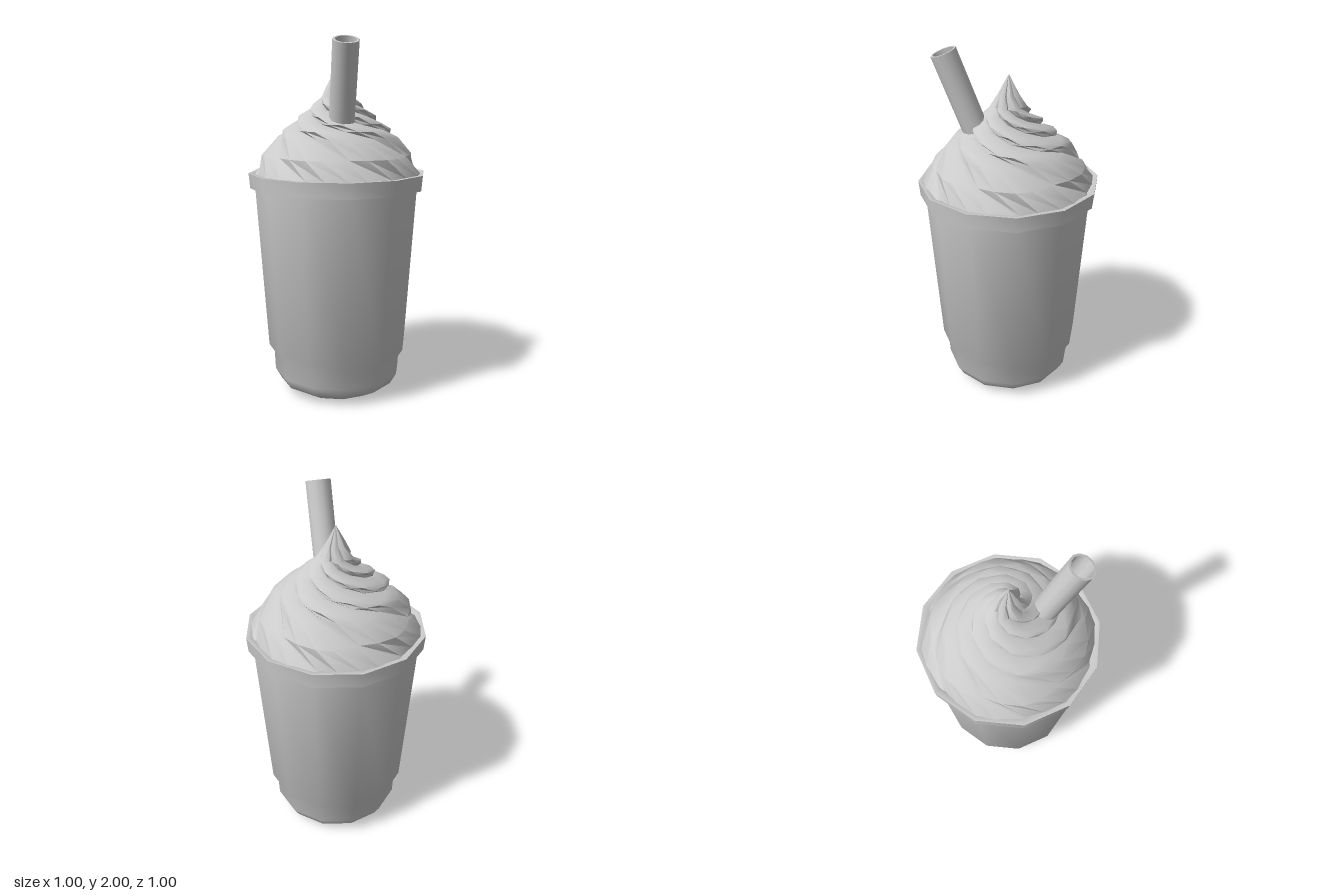
import * as THREE from 'three';
import { toCreasedNormals } from 'three/addons/utils/BufferGeometryUtils.js';

const SIDES = 12;
const material = new THREE.MeshStandardMaterial({ color: 0xcccccc });

function addMesh(parent, name, geometry, crease) {
  const mesh = new THREE.Mesh(toCreasedNormals(geometry, crease), material);
  mesh.name = name;
  parent.add(mesh);
  return mesh;
}

// Twelve-sided turned shape from [radius, y] pairs, running up the outside
function lathe(profile) {
  return new THREE.LatheGeometry(profile.map(([r, y]) => new THREE.Vector2(r, y)), SIDES);
}

// Six-lobed sawtooth section, twisted 60 degrees per level while it narrows
function creamGeometry() {
  // [turn in lobes, radius, height, groove depth]
  const levels = [
    [-0.1, 0.475, 1.23, 0.04], [0, 0.475, 1.26, 0.04], [0.5, 0.425, 1.365, 0.06],
    [1, 0.345, 1.465, 0.09], [1.5, 0.305, 1.505, 0.12], [2.05, 0.26, 1.54, 0.16],
    [2.6, 0.215, 1.58, 0.2], [3.15, 0.172, 1.615, 0.25], [3.65, 0.135, 1.645, 0.28],
    [4.15, 0.1, 1.68, 0.3], [4.45, 0.06, 1.745, 0.3], [4.6, 0.002, 1.85, 0.3],
  ];
  // [position within a lobe, share of the groove depth]
  const lobe = [[-0.48, 0.7], [-0.2, 0.15], [0, 0], [0.25, 0.6], [0.47, 1.25]];
  const count = lobe.length * 6;
  const positions = [];
  const index = [];
  levels.forEach(([turn, radius, y, depth], k) => {
    for (let j = 0; j < count; j++) {
      const [f, cut] = lobe[j % lobe.length];
      const angle = (Math.floor(j / lobe.length) + f + turn) * Math.PI / 3 - Math.PI / 2;
      const r = radius * (1 - depth * cut);
      positions.push(r * Math.cos(angle), y, r * Math.sin(angle));
      if (k === levels.length - 1) continue;
      const a = k * count + j;
      const b = k * count + (j + 1) % count;
      index.push(a, a + count, b, b, a + count, b + count);
    }
  });
  const geometry = new THREE.BufferGeometry();
  geometry.setAttribute('position', new THREE.Float32BufferAttribute(positions, 3));
  geometry.setIndex(index);
  return geometry;
}

export function createModel() {
  const group = new THREE.Group();
  group.name = 'whippedCreamDrink';

  // Tapered cup with a stepped, rounded foot
  addMesh(group, 'cup', lathe([
    [0, 0], [0.24, 0], [0.33, 0.05], [0.365, 0.11], [0.37, 0.215],
    [0.4, 0.26], [0.465, 1.2],
  ]), 0.85);

  // Overhanging rim
  addMesh(group, 'rim', lathe([
    [0.44, 1.18], [0.492, 1.18], [0.5, 1.265], [0.475, 1.265], [0.43, 1.23],
  ]), 0.7);

  // Swirled topping
  addMesh(group, 'whippedCream', creamGeometry(), 0.6);

  // Hollow straw leaning to the front, sunk into the cream
  const length = 0.6;
  const straw = addMesh(group, 'straw', lathe([
    [0, -length], [0.07, -length], [0.07, 0], [0.058, 0],
    [0.058, 0.02 - length], [0, 0.02 - length],
  ]), 0.7);
  straw.position.set(0, 1.975, 0.335);
  straw.rotation.x = THREE.MathUtils.degToRad(20.5);

  return group;
}
